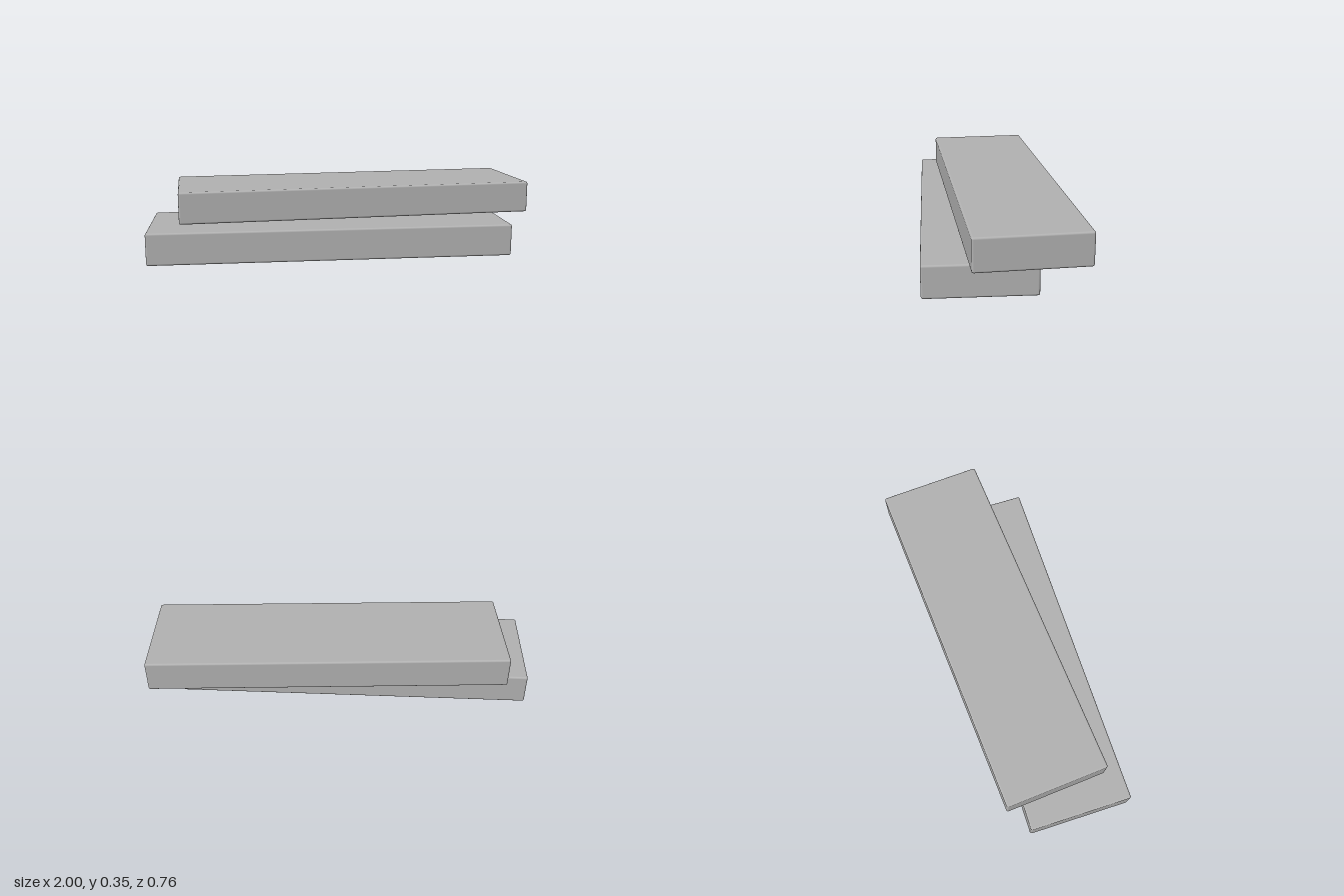
import * as THREE from 'three';
import { RoundedBoxGeometry } from 'three/addons/geometries/RoundedBoxGeometry.js';

const LENGTH = 1.845, HEIGHT = 0.163, DEPTH = 0.54, BEVEL = 0.01;

export function createModel() {
  const model = new THREE.Group();
  model.name = 'stackedSlabs';

  const stone = new THREE.MeshStandardMaterial({ color: 0xb2b2b2 });
  stone.name = 'light grey';

  // Both slabs share one softly bevelled block
  const block = new RoundedBoxGeometry(LENGTH, HEIGHT, DEPTH, 2, BEVEL);

  function addSlab(name, x, bottom, z, turn) {
    const slab = new THREE.Mesh(block, stone);
    slab.name = name;
    slab.position.set(x, bottom + HEIGHT / 2, z);
    slab.rotation.y = turn;
    model.add(slab);
  }

  // Lower slab lies square; upper slab floats just above, slightly turned
  addSlab('lowerSlab', -0.0775, 0.001, 0.11, 0);
  addSlab('upperSlab', 0.06, 0.184, -0.046, THREE.MathUtils.degToRad(4));

  return model;
}
